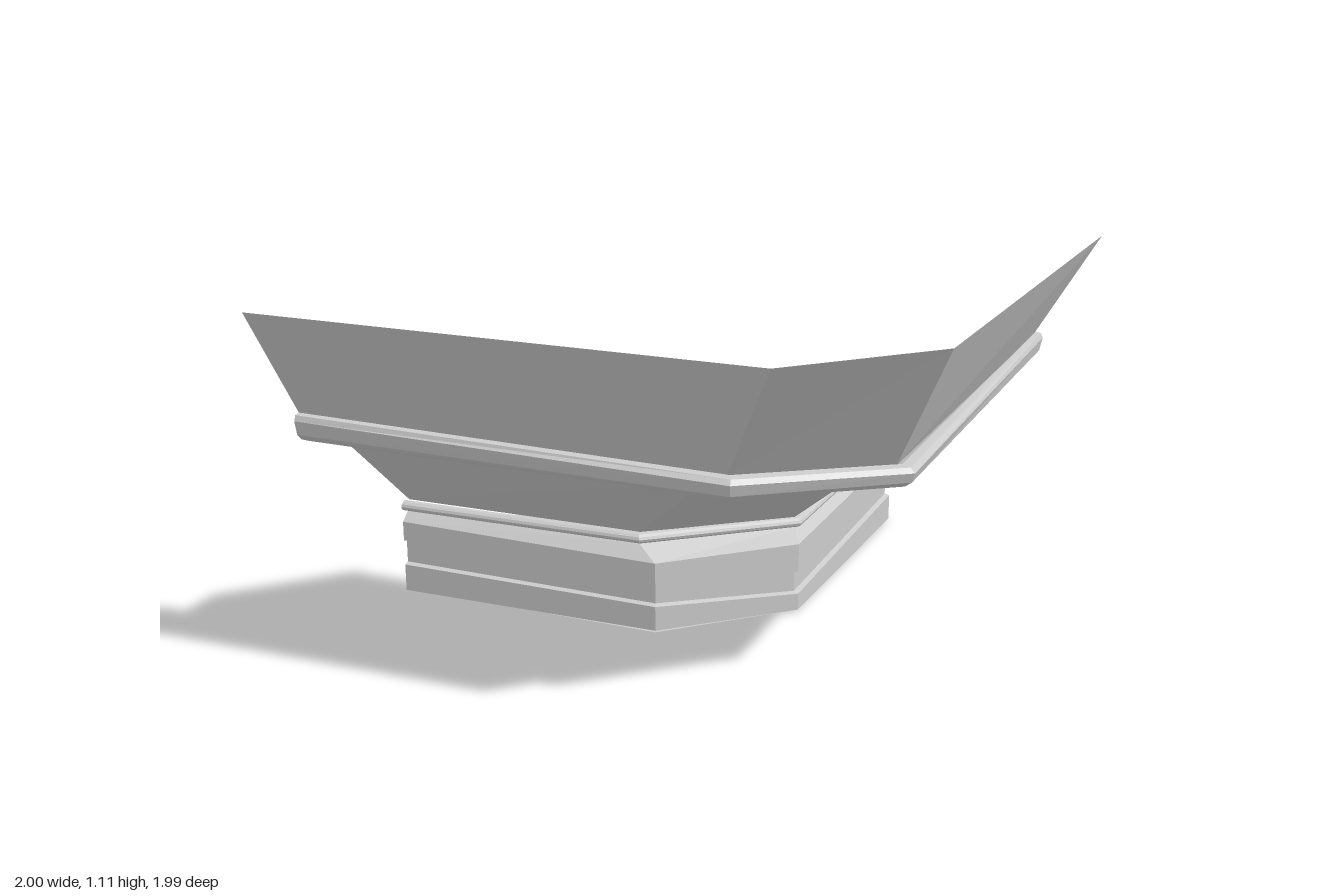
import * as THREE from 'three';

const BACK = -0.99;

// Surface between successive rings of [x, y, z] points, with crisp facets
function loft(name, rings, closed = false) {
  const pos = [];
  for (let r = 0; r < rings.length - 1; r++) {
    const a = rings[r], b = rings[r + 1], n = a.length;
    for (let i = 0; i < (closed ? n : n - 1); i++) {
      const j = (i + 1) % n;
      pos.push(...a[i], ...a[j], ...b[j], ...a[i], ...b[j], ...b[i]);
    }
  }
  const geo = new THREE.BufferGeometry();
  geo.setAttribute('position', new THREE.Float32BufferAttribute(pos, 3));
  geo.computeVertexNormals();
  const mesh = new THREE.Mesh(geo, new THREE.MeshStandardMaterial({
    color: 0xcccccc, flatShading: true, side: THREE.DoubleSide,
  }));
  mesh.name = name;
  return mesh;
}

// One moulding line round the chamfered corner:
// e = reach at the open ends, d = reach at the chamfer, c = where the chamfer starts,
// y1, y2 = heights at the two chamfer corners, x = position of the side end
function line(y, e, d, c, y1, y2, x = -0.965) {
  return [[x, y, e], [c, y1, d], [d, y2, c], [e, y, BACK]];
}

export function createModel() {
  const group = new THREE.Group();

  // Base block with a shallow groove and a sloped top
  group.add(loft('baseBlock', [
    line(0.005, 0.285, 0.285, -0.06, 0.015, 0.01),
    line(0.095, 0.285, 0.285, -0.06, 0.095, 0.065),
    line(0.1, 0.268, 0.268, -0.067, 0.1, 0.07),
    line(0.175, 0.268, 0.268, -0.067, 0.17, 0.135),
    line(0.18, 0.285, 0.285, -0.06, 0.175, 0.14),
    line(0.245, 0.285, 0.285, -0.06, 0.24, 0.235),
    line(0.275, 0.25, 0.245, -0.13, 0.28, 0.265),
  ]));

  // Rounded bead under the flare
  const bead = [];
  for (let k = 0; k <= 6; k++) {
    const t = -Math.PI / 2 + k * Math.PI / 6;
    const o = 0.025 * Math.cos(t), h = 0.017 * Math.sin(t);
    bead.push(line(0.291 + h, 0.25 + o, 0.245 + o, -0.13 + o * 0.4, 0.302 + h, 0.283 + h, -0.975));
  }
  group.add(loft('lowerBead', bead));

  // Flare widening from the base to the cornice
  group.add(loft('flare', [
    line(0.308, 0.24, 0.24, -0.13, 0.319, 0.295),
    line(0.655, 0.62, 0.62, 0.25, 0.655, 0.64, -0.98),
  ]));

  // Cornice: soffit, rounded nose and top lip
  group.add(loft('cornice', [
    line(0.655, 0.62, 0.62, 0.25, 0.655, 0.64, -0.98),
    line(0.66, 0.75, 0.725, 0.37, 0.66, 0.63, -0.98),
    line(0.675, 0.785, 0.765, 0.385, 0.672, 0.64, -0.98),
    line(0.695, 0.805, 0.79, 0.4, 0.69, 0.66, -0.98),
    line(0.74, 0.815, 0.8, 0.405, 0.725, 0.69, -0.98),
    line(0.757, 0.808, 0.785, 0.4, 0.738, 0.704, -0.98),
    line(0.76, 0.79, 0.755, 0.385, 0.74, 0.706, -0.98),
    line(0.745, 0.78, 0.735, 0.37, 0.73, 0.695, -0.98),
  ]));

  // Sloping rim on top
  group.add(loft('rim', [
    line(0.745, 0.78, 0.735, 0.37, 0.73, 0.695, -0.98),
    line(1.11, 0.995, 0.945, 0.575, 1.11, 1.11, -1),
  ]));

  // Underside: flat border, bevel and recessed panel
  const outline = (y, pts) => pts.map(([x, z]) => [x, y, z]);
  const inner = [[-0.83, -0.86], [0.13, -0.82], [0.15, -0.12], [-0.1, 0.13], [-0.83, 0.13]];
  const bevel = outline(0.01, [[-0.9, -0.92], [0.19, -0.89], [0.19, -0.1], [-0.09, 0.18], [-0.9, 0.2]]);
  group.add(loft('baseBorder', [
    outline(0.01, [[-0.965, BACK], [0.285, BACK], [0.285, -0.06], [-0.06, 0.285], [-0.965, 0.285]]),
    bevel,
  ], true));
  group.add(loft('panelBevel', [bevel, outline(0.08, inner)], true));
  group.add(loft('basePanel', [
    outline(0.08, inner),
    outline(0.08, inner.map(() => [-0.35, -0.35])),
  ], true));

  // Seat the lowest edge on the ground
  const box = new THREE.Box3().setFromObject(group);
  group.children.forEach((m) => m.geometry.translate(0, -box.min.y, 0));
  return group;
}
